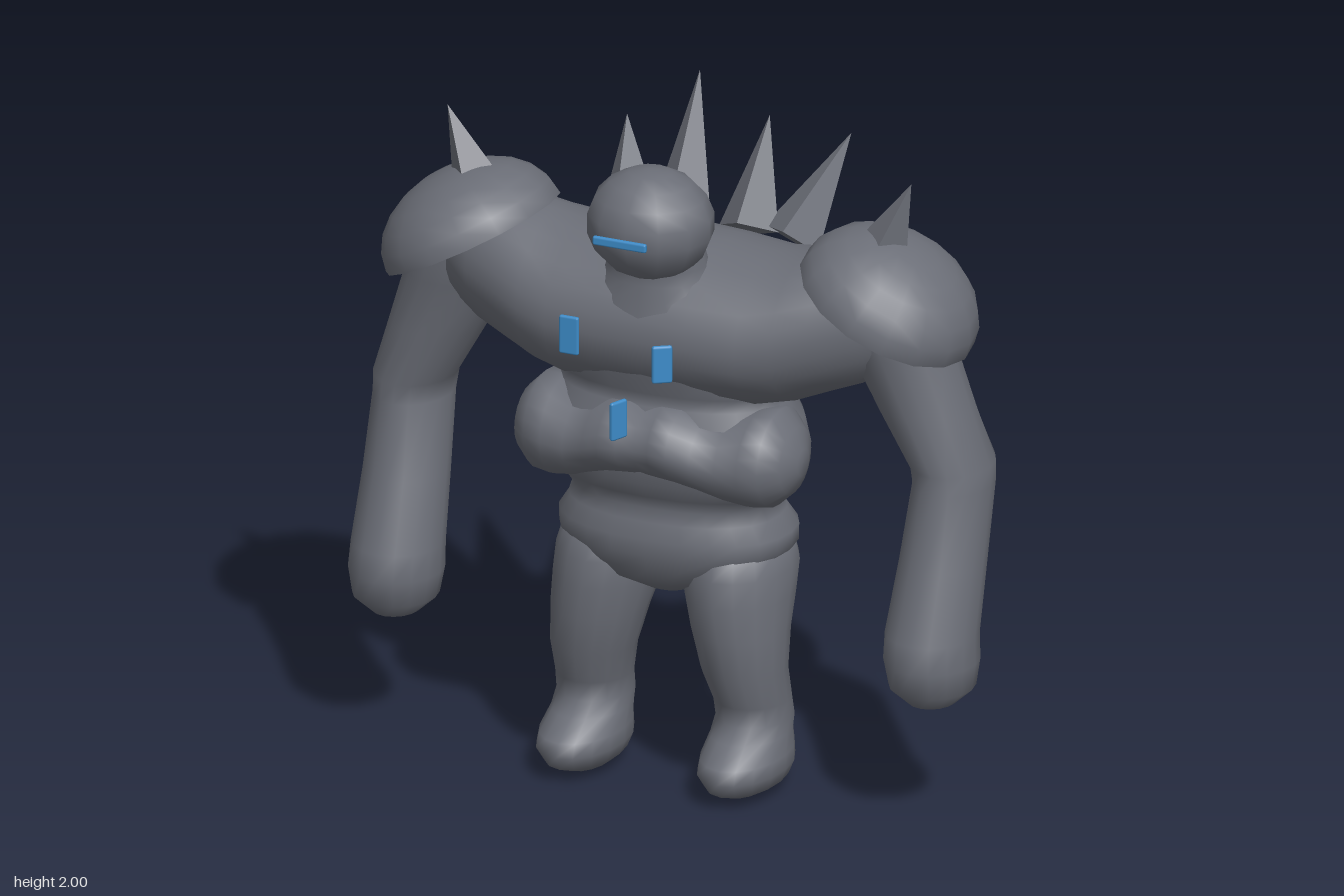
import * as THREE from 'three';
import { RoundedBoxGeometry } from 'three/addons/geometries/RoundedBoxGeometry.js';

const stone = new THREE.MeshStandardMaterial({ color: 0x6b6e77, side: THREE.DoubleSide });
stone.name = 'stone grey';
const glow = new THREE.MeshStandardMaterial({ color: 0x3d8cc9 });
glow.name = 'crystal blue';

// Smooth skin through horizontal rings [y, x, z, rx, rz], listed bottom to top; power below 1 makes them boxier
function loft(rings, sides = 16, power = 1) {
  const pos = [], idx = [];
  const bend = (v) => Math.sign(v) * Math.abs(v) ** power;
  rings.forEach(([y, x, z, rx, rz], i) => {
    for (let j = 0; j < sides; j++) {
      const a = (j / sides) * Math.PI * 2;
      pos.push(x + bend(Math.cos(a)) * rx, y, z + bend(Math.sin(a)) * rz);
      if (i === rings.length - 1) continue;
      const p = i * sides + j, q = i * sides + ((j + 1) % sides);
      idx.push(p, p + sides, q, q, p + sides, q + sides);
    }
  });
  const g = new THREE.BufferGeometry();
  g.setAttribute('position', new THREE.Float32BufferAttribute(pos, 3));
  g.setIndex(idx);
  g.computeVertexNormals();
  return g;
}

// Symmetric skin running across x; sections [x, bottom, top, front, back] from the middle to the left end
function crossLoft(sections, sides = 20) {
  const half = sections.map(([x, b, t, f, k]) => [x, -(b + t) / 2, (f + k) / 2, (t - b) / 2, (f - k) / 2]);
  const mirrored = half.slice(1).reverse().map(([x, ...rest]) => [-x, ...rest]);
  return loft([...mirrored, ...half], sides).rotateZ(-Math.PI / 2);
}

// Four-sided, flat-faced spike from base centre to tip
function spike(base, tip, radius) {
  const dir = new THREE.Vector3(...tip).sub(new THREE.Vector3(...base));
  const h = dir.length();
  const g = new THREE.ConeGeometry(radius, h, 4).translate(0, h / 2, 0).toNonIndexed();
  g.computeVertexNormals();
  g.applyQuaternion(new THREE.Quaternion().setFromUnitVectors(new THREE.Vector3(0, 1, 0), dir.normalize()));
  return g.translate(...base);
}

export function createModel() {
  const model = new THREE.Group();
  model.name = 'golem';
  const add = (name, geometry, material = stone) => {
    const m = new THREE.Mesh(geometry, material);
    m.name = name;
    model.add(m);
    return m;
  };

  // Hips, waist and belly: [y, half width, front z, back z]
  const trunk = [
    [0.58, 0, 0, 0], [0.595, 0.08, 0.1, -0.1], [0.64, 0.2, 0.175, -0.185], [0.69, 0.31, 0.2, -0.235],
    [0.74, 0.357, 0.215, -0.26], [0.79, 0.358, 0.217, -0.262], [0.84, 0.325, 0.202, -0.235],
    [0.88, 0.31, 0.19, -0.205], [0.92, 0.34, 0.205, -0.205], [0.97, 0.39, 0.235, -0.225],
    [1.06, 0.41, 0.25, -0.24], [1.14, 0.39, 0.24, -0.235], [1.2, 0.35, 0.205, -0.235],
    [1.24, 0.36, 0.205, -0.25], [1.3, 0.38, 0.235, -0.27], [1.4, 0.3, 0.25, -0.2],
  ];
  add('hipsAndBelly', loft(trunk.map(([y, w, f, b]) => [y, 0, (f + b) / 2, w, (f - b) / 2]), 24, 0.88));

  // Chest running into both shoulders
  add('chest', crossLoft([
    [0, 1.185, 1.665, 0.275, -0.348], [0.15, 1.19, 1.658, 0.273, -0.342], [0.3, 1.195, 1.648, 0.255, -0.318],
    [0.4, 1.22, 1.665, 0.23, -0.285], [0.5, 1.262, 1.69, 0.195, -0.245], [0.6, 1.3, 1.705, 0.15, -0.21],
    [0.68, 1.36, 1.695, 0.12, -0.18], [0.75, 1.5, 1.55, 0, -0.06],
  ], 24));

  // Lumpy roll around the front of the belly
  add('bellyRoll', crossLoft([
    [0, 0.985, 1.2, 0.295, 0], [0.05, 0.985, 1.213, 0.312, 0], [0.11, 0.98, 1.21, 0.315, 0],
    [0.17, 0.955, 1.18, 0.285, -0.03], [0.24, 0.925, 1.175, 0.265, -0.06], [0.31, 0.912, 1.205, 0.265, -0.08],
    [0.37, 0.918, 1.21, 0.25, -0.075], [0.42, 0.965, 1.16, 0.2, -0.02], [0.445, 1.02, 1.1, 0.13, 0.05],
    [0.446, 1.06, 1.06, 0.09, 0.09],
  ]));

  // Neck and head
  add('neck', loft([
    [1.46, 0, 0.08, 0.28, 0.185], [1.54, 0, 0.095, 0.2, 0.16], [1.59, 0, 0.11, 0.165, 0.137],
    [1.63, 0, 0.12, 0.15, 0.125], [1.7, 0, 0.14, 0.14, 0.12],
  ]));
  add('head', new THREE.SphereGeometry(1, 12, 9).scale(0.19, 0.166, 0.176).translate(0, 1.762, 0.173));

  const arm = [
    [0.37, 0.85, 0.08, 0, 0], [0.39, 0.85, 0.08, 0.07, 0.08], [0.44, 0.85, 0.08, 0.125, 0.135],
    [0.52, 0.848, 0.08, 0.138, 0.152], [0.6, 0.846, 0.072, 0.135, 0.147], [0.8, 0.85, 0.005, 0.125, 0.14],
    [1.02, 0.855, -0.058, 0.115, 0.148], [1.08, 0.85, -0.06, 0.12, 0.15], [1.25, 0.772, -0.045, 0.145, 0.14],
    [1.42, 0.7, -0.035, 0.165, 0.14], [1.55, 0.65, -0.03, 0.17, 0.16], [1.65, 0.62, -0.03, 0.13, 0.12],
    [1.7, 0.62, -0.03, 0, 0],
  ];
  const leg = [
    [0.005, 0.25, 0.05, 0, 0], [0.015, 0.25, 0.05, 0.065, 0.12], [0.045, 0.255, 0.06, 0.105, 0.185],
    [0.09, 0.255, 0.07, 0.126, 0.205], [0.13, 0.255, 0.062, 0.122, 0.195], [0.18, 0.252, 0.025, 0.112, 0.155],
    [0.22, 0.252, 0.002, 0.111, 0.13], [0.28, 0.25, 0.015, 0.112, 0.125], [0.38, 0.238, 0.045, 0.125, 0.135],
    [0.5, 0.222, 0.035, 0.142, 0.16], [0.6, 0.208, 0.008, 0.156, 0.192], [0.68, 0.2, -0.015, 0.162, 0.207],
    [0.74, 0.195, -0.02, 0.15, 0.19], [0.8, 0.17, -0.02, 0.12, 0.14], [0.84, 0.16, -0.02, 0, 0],
  ];

  // Paired parts
  for (const s of [1, -1]) {
    const side = s > 0 ? 'left' : 'right';
    const mirror = (rings) => rings.map(([y, x, ...rest]) => [y, x * s, ...rest]);
    add(side + 'Arm', loft(mirror(arm)));
    add(side + 'Leg', loft(mirror(leg)));

    // Domed shoulder pad, tilted outward
    const dome = new THREE.SphereGeometry(0.279, 16, 6, 0, Math.PI * 2, 0, Math.PI / 2);
    dome.scale(1, 0.73, 1).rotateZ(-0.49 * s).translate(0.656 * s, 1.545, -0.03);
    add(side + 'ShoulderPad', dome);
    add(side + 'ShoulderSpike', spike([0.655 * s, 1.735, -0.025], [0.735 * s, 1.93, -0.025], 0.07));
  }

  // Row of spikes across the upper back
  [
    [-0.25, 1.6, -0.33, 1.84, -0.38], [-0.085, 1.625, -0.115, 2, -0.415],
    [0.13, 1.62, 0.12, 1.91, -0.385], [0.265, 1.61, 0.365, 1.885, -0.415],
  ].forEach(([x, y, tx, ty, tz], i) => {
    add('backSpike' + (i + 1), spike([x, y, -0.22], [tx, ty, tz], 0.093));
  });

  // Floating crystal plates: [name, x, y, z, width, height, thickness, turn]
  [
    ['visor', -0.005, 1.765, 0.374, 0.17, 0.028, 0.016, 0],
    ['rightChestCrystal', -0.16, 1.462, 0.385, 0.062, 0.118, 0.016, 0],
    ['leftChestCrystal', 0.134, 1.42, 0.385, 0.06, 0.115, 0.018, 0.6],
    ['bellyCrystal', -0.004, 1.225, 0.386, 0.062, 0.118, 0.016, 1.2],
  ].forEach(([name, x, y, z, w, h, d, turn]) => {
    const plate = add(name, new RoundedBoxGeometry(w, h, d, 1, 0.007), glow);
    plate.position.set(x, y, z);
    plate.rotation.y = turn;
  });

  return model;
}
